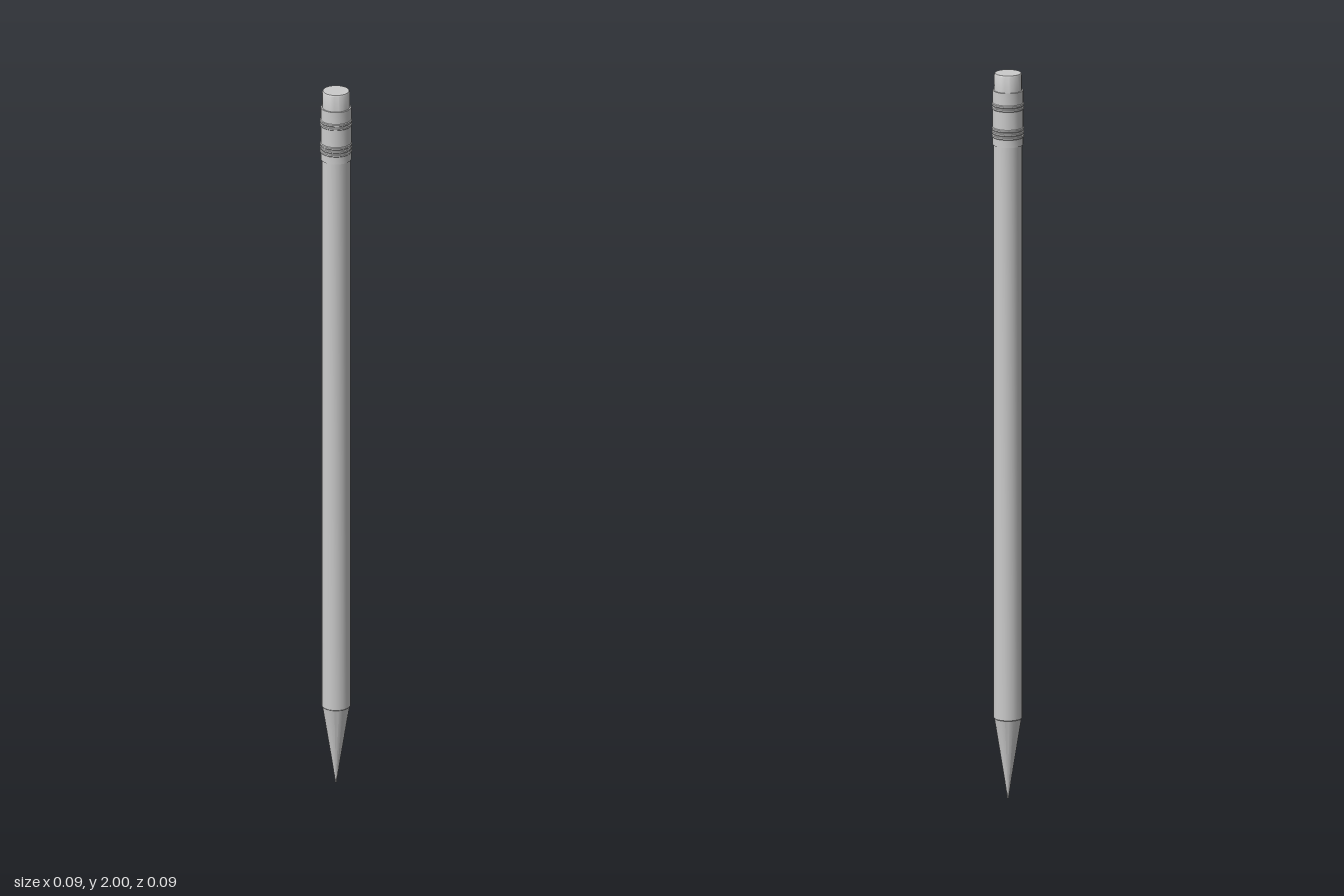
import * as THREE from 'three';
import { toCreasedNormals } from 'three/addons/utils/BufferGeometryUtils.js';

const SIDES = 20;

export function createModel() {
  const pencil = new THREE.Group();
  pencil.name = 'pencil';
  const material = new THREE.MeshStandardMaterial({ color: 0xcccccc });

  // Turns a profile of [radius, height] points, listed from bottom to top.
  function turned(name, profile, crease = 0.5) {
    const points = profile.map(([r, y]) => new THREE.Vector2(r, y));
    const geometry = toCreasedNormals(new THREE.LatheGeometry(points, SIDES), crease);
    const mesh = new THREE.Mesh(geometry, material);
    mesh.name = name;
    pencil.add(mesh);
  }

  // Sharpened end: graphite point and bare wooden cone
  turned('lead', [[0, 0], [0.002, 0.002], [0.0095, 0.055]]);
  turned('sharpenedWood', [[0.0095, 0.055], [0.0365, 0.222]]);

  // Long painted barrel
  turned('barrel', [[0.0365, 0.222], [0.0385, 0.224], [0.0385, 1.82], [0, 1.82]]);

  // Metal sleeve with two groups of raised rings
  const sleeve = [[0.0385, 1.803], [0.041, 1.803]];
  for (const y of [1.828, 1.838, 1.848, 1.905, 1.915]) {
    sleeve.push([0.041, y - 0.004], [0.043, y - 0.002], [0.043, y + 0.002], [0.041, y + 0.004]);
  }
  sleeve.push([0.041, 1.953], [0.037, 1.953]);
  turned('ferrule', sleeve);

  // Eraser with a slightly softened rim
  turned('eraser', [[0.037, 1.94], [0.037, 1.996], [0.035, 2], [0, 2]], 0.7);

  return pencil;
}
